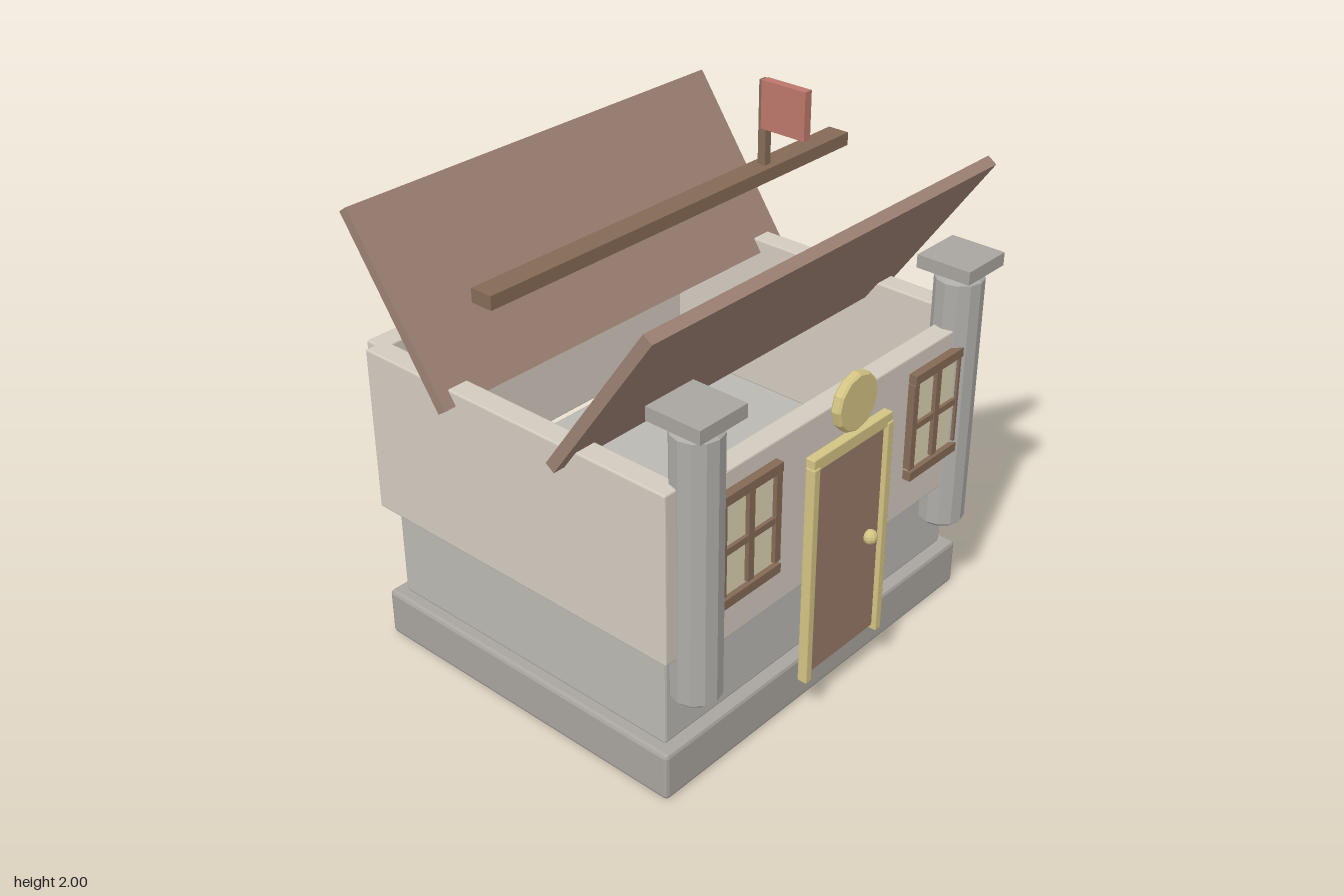
import * as THREE from 'three';
import { RoundedBoxGeometry } from 'three/addons/geometries/RoundedBoxGeometry.js';

const mat = (color) => new THREE.MeshStandardMaterial({ color, flatShading: true });
const M = {
  base: mat(0xa8a49f), stone: mat(0xbab8b2), wall: mat(0xd2cabe), pillar: mat(0xaeaca8),
  roof: mat(0x9b8072), wood: mat(0x846a56), door: mat(0x967a68), gold: mat(0xd3c383),
  glass: mat(0xdad3b0), flag: mat(0xbc786c),
};

export function createModel() {
  const root = new THREE.Group();

  const add = (name, geo, material, parent = root) => {
    const mesh = new THREE.Mesh(geo, material);
    mesh.name = name;
    parent.add(mesh);
    return mesh;
  };

  // Box given by its [min, max] along each axis, with an optional bevel
  const box = (name, material, [x0, x1], [y0, y1], [z0, z1], bevel = 0, parent = root) => {
    const s = [x1 - x0, y1 - y0, z1 - z0];
    const geo = bevel ? new RoundedBoxGeometry(...s, 1, bevel) : new THREE.BoxGeometry(...s);
    const mesh = add(name, geo, material, parent);
    mesh.position.set((x0 + x1) / 2, (y0 + y1) / 2, (z0 + z1) / 2);
    return mesh;
  };

  // Upright beveled cylinder, centred on its own middle
  const bevelCylinder = (r, h, b, sides) => new THREE.LatheGeometry([
    [0, -h / 2], [r - b, -h / 2], [r, -h / 2 + b], [r, h / 2 - b], [r - b, h / 2], [0, h / 2],
  ].map(([x, y]) => new THREE.Vector2(x, y)), sides);

  // Base and foundation
  box('base', M.base, [-0.835, 0.835], [0, 0.19], [-0.727, 0.663], 0.015);
  box('foundation', M.stone, [-0.79, 0.79], [0.19, 0.563], [-0.68, 0.617], 0.01);

  // Walls, open at the top
  const wallY = [0.565, 1.21];
  box('frontWall', M.wall, [-0.775, 0.775], wallY, [0.627, 0.71], 0.006);
  box('backWall', M.wall, [-0.79, 0.79], wallY, [-0.775, -0.69], 0.006);
  box('rightWall', M.wall, [-0.835, -0.747], wallY, [-0.727, 0.663], 0.006);
  box('leftWall', M.wall, [0.747, 0.835], wallY, [-0.727, 0.663], 0.006);

  for (const side of [-1, 1]) {
    const label = side < 0 ? 'right' : 'left';

    // Pillars with caps hovering just above
    const x = side * 0.696;
    add(label + 'Pillar', bevelCylinder(0.09, 1.02, 0.015, 12), M.pillar).position.set(x, 0.89, 0.669);
    box(label + 'PillarCap', M.base, [x - 0.108, x + 0.108], [1.42, 1.47], [0.558, 0.775]);

    // Windows: pane, three uprights, crossbar, two sills
    const win = new THREE.Group();
    win.name = label + 'Window';
    win.position.x = side * 0.51;
    root.add(win);
    box('pane', M.glass, [-0.14, 0.14], [0.75, 1.12], [0.7, 0.722], 0, win);
    for (const u of [-0.135, 0, 0.135])
      box('upright', M.wood, [u - 0.014, u + 0.014], [0.765, 1.105], [0.71, 0.738], 0, win);
    box('crossbar', M.wood, [-0.135, 0.135], [0.918, 0.943], [0.71, 0.735], 0, win);
    for (const y of [0.72, 1.11])
      box('sill', M.wood, [-0.148, 0.148], [y, y + 0.035], [0.705, 0.742], 0, win);
  }

  // Door with frame and knob
  box('door', M.door, [-0.19, 0.19], [0.19, 1.03], [0.705, 0.738]);
  for (const s of [-1, 1])
    box('doorPost', M.gold, [s * 0.202 - 0.016, s * 0.202 + 0.016], [0.17, 1.045], [0.718, 0.757], 0.004);
  box('doorLintel', M.gold, [-0.215, 0.215], [1.03, 1.08], [0.715, 0.752], 0.004);
  add('doorKnob', new THREE.SphereGeometry(0.028, 10, 8), M.gold).position.set(0.128, 0.61, 0.75);

  // Round plaque above the door
  const plaque = add('plaque', bevelCylinder(0.108, 0.04, 0.008, 12), M.gold);
  plaque.rotation.x = Math.PI / 2;
  plaque.position.set(0, 1.21, 0.743);

  // Roof panels leaning outwards
  for (const s of [-1, 1]) {
    const panel = add(s > 0 ? 'frontRoof' : 'backRoof', new THREE.BoxGeometry(1.765, 0.741, 0.042), M.roof);
    panel.position.set(0, 1.451, -0.033 + s * 0.465);
    panel.rotation.x = s * Math.atan2(0.425, 0.607);
  }

  // Ridge beam with flag
  box('ridgeBeam', M.wood, [-0.9, 0.9], [1.635, 1.685], [-0.078, 0.01]);
  box('flagPole', M.wood, [0.449, 0.479], [1.685, 1.998], [-0.052, -0.018]);
  box('flag', M.flag, [0.447, 0.482], [1.82, 2], [-0.04, 0.153]);

  return root;
}
